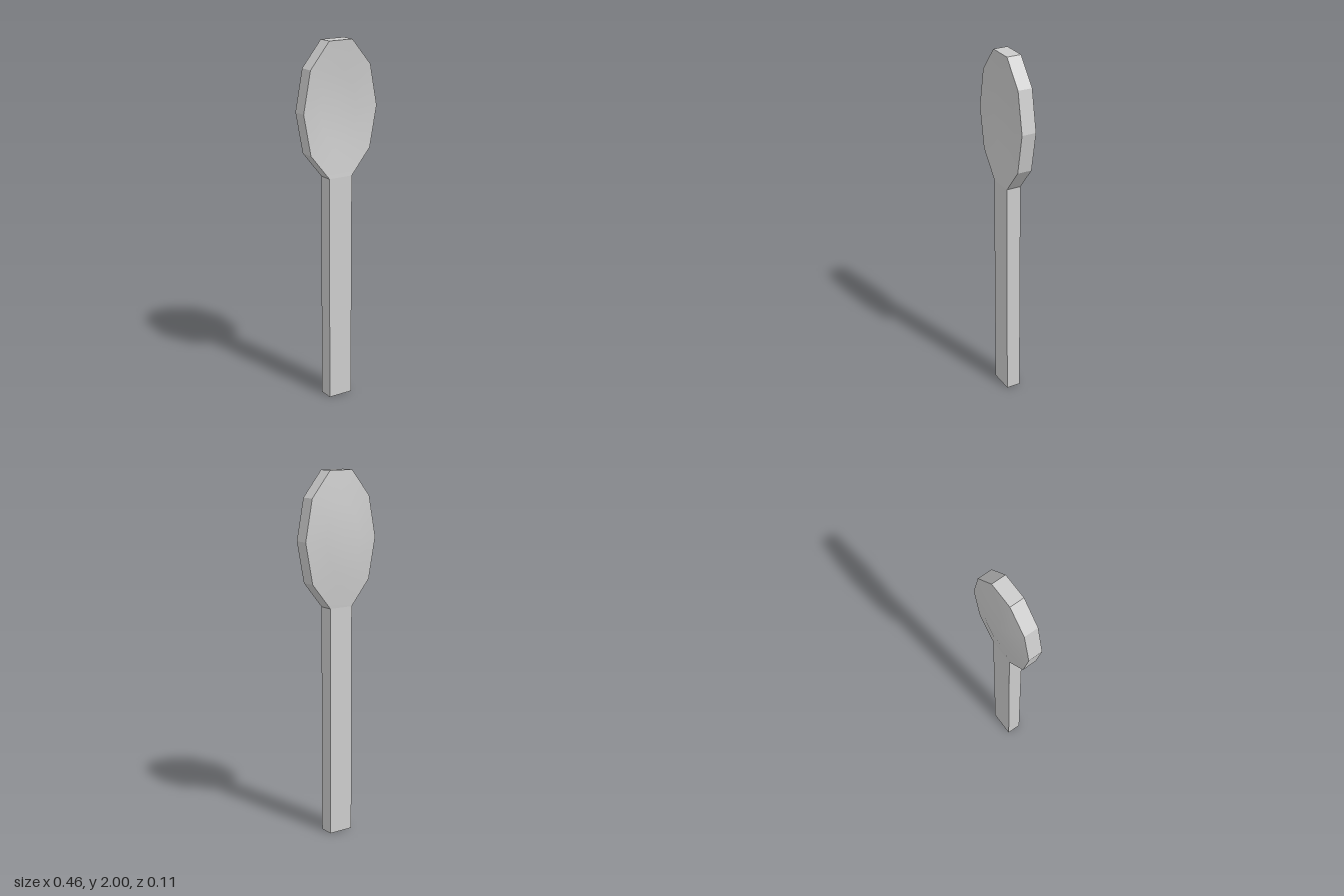
import * as THREE from 'three';
import { toCreasedNormals } from 'three/addons/utils/BufferGeometryUtils.js';

const FRONT = 0.054, BACK = -0.027, DEPTH = 0.028, MID_Y = 1.635;
const HANDLE_W = 0.143, HANDLE_H = 1.27;

// Ten-sided bowl outline, counter-clockwise from the lower right corner
function bowlOutline() {
  const right = [[HANDLE_W / 2, HANDLE_H], [0.186, 1.41], [0.229, MID_Y], [0.186, 1.86], [HANDLE_W / 2, 2]];
  const left = right.map(([x, y]) => [-x, y]).reverse();
  return [...right, ...left];
}

// Shell lofted from front centre, over the rim, to back centre
function bowlGeometry() {
  const outline = bowlOutline(), n = outline.length;
  const dish = (s) => DEPTH * (1 - s * s);
  const rings = [0, 0.5, 1].map((s) => [s, FRONT - dish(s)])
    .concat([1, 0.5, 0].map((s) => [s, BACK - dish(s)]));
  const point = (k, i) => {
    const [x, y] = outline[i % n], [s, z] = rings[k];
    return [x * s, MID_Y + (y - MID_Y) * s, z];
  };
  const pos = [];
  for (let k = 0; k < rings.length - 1; k++) {
    for (let i = 0; i < n; i++) {
      if (k === 2 && i === n - 1) continue; // open where the handle joins
      const a = point(k, i), b = point(k + 1, i), c = point(k + 1, i + 1), d = point(k, i + 1);
      if (k < rings.length - 2) pos.push(...a, ...b, ...c);
      if (k > 0) pos.push(...a, ...c, ...d);
    }
  }
  const geo = new THREE.BufferGeometry();
  geo.setAttribute('position', new THREE.Float32BufferAttribute(pos, 3));
  return toCreasedNormals(geo, 0.3);
}

export function createModel() {
  const group = new THREE.Group();
  group.name = 'spoon';
  const material = new THREE.MeshStandardMaterial({ color: 0xcccccc });

  // Dished bowl
  const bowl = new THREE.Mesh(bowlGeometry(), material);
  bowl.name = 'bowl';

  // Straight square-edged handle
  const handle = new THREE.Mesh(new THREE.BoxGeometry(HANDLE_W, HANDLE_H, FRONT - BACK), material);
  handle.position.set(0, HANDLE_H / 2, (FRONT + BACK) / 2);
  handle.name = 'handle';

  group.add(bowl, handle);
  return group;
}
